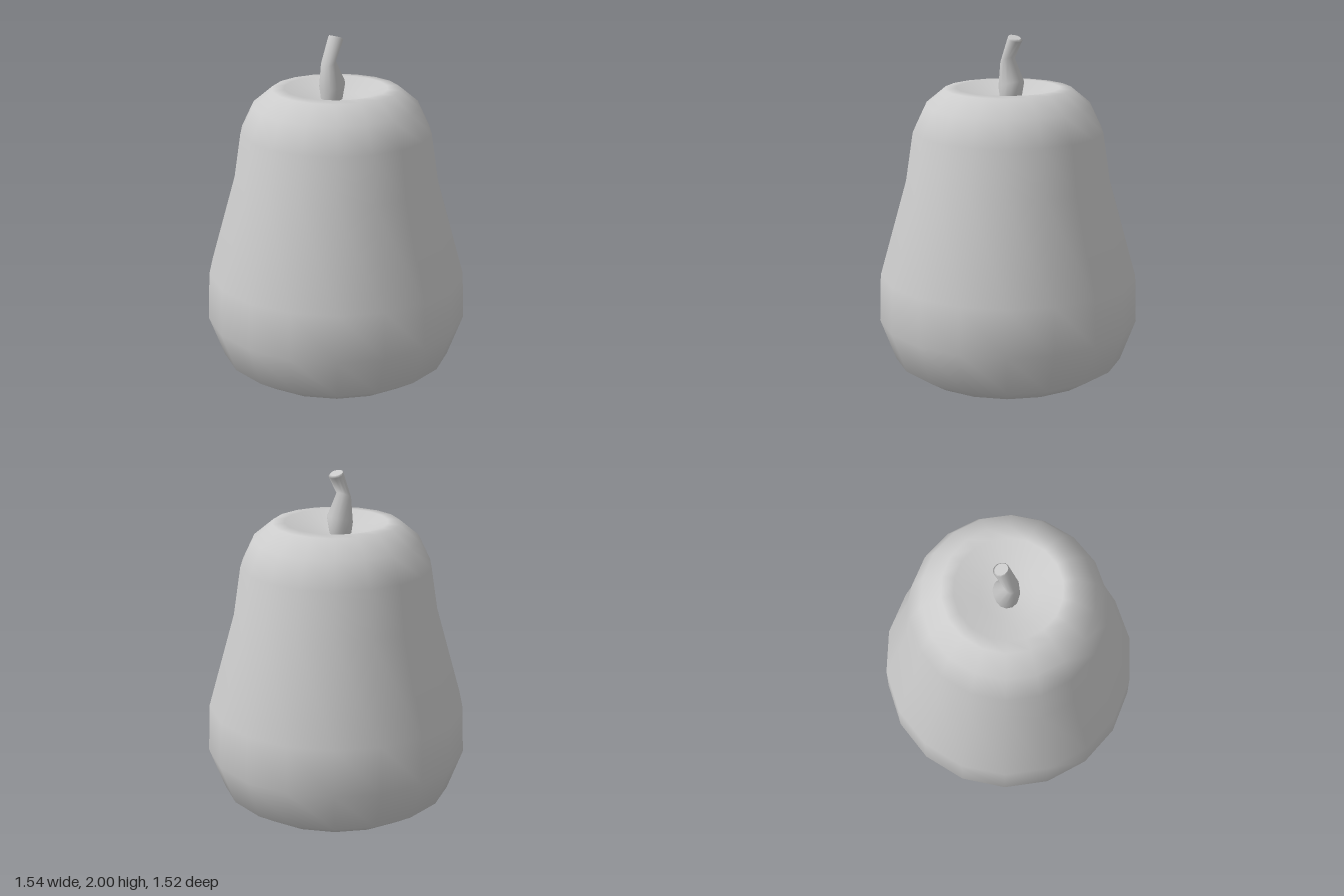
import * as THREE from 'three';

const SIDES = 18;
const STEM_SIDES = 12;

// Smooth loft through tilted elliptical rings, closed with a crisp cap.
// Ring: [centre x, centre y, half width x, rise at +x, half width z]
function loft(rings, sides, z0) {
  const pos = [], index = [];
  const addRing = ([cx, cy, rx, rise, rz]) => {
    for (let j = 0; j < sides; j++) {
      const a = (j / sides) * Math.PI * 2;
      pos.push(cx + rx * Math.cos(a), cy + rise * Math.cos(a), z0 + rz * Math.sin(a));
    }
  };
  rings.forEach(addRing);
  for (let i = 0; i < rings.length - 1; i++) {
    for (let j = 0; j < sides; j++) {
      const k = (j + 1) % sides;
      const a = i * sides + j, b = i * sides + k, c = a + sides, d = b + sides;
      index.push(a, c, b, b, c, d);
    }
  }
  // Cap with its own vertices so its edge stays sharp
  const top = rings[rings.length - 1];
  const start = pos.length / 3;
  addRing(top);
  pos.push(top[0], top[1], z0);
  for (let j = 0; j < sides; j++) {
    index.push(start + sides, start + ((j + 1) % sides), start + j);
  }
  const geo = new THREE.BufferGeometry();
  geo.setAttribute('position', new THREE.Float32BufferAttribute(pos, 3));
  geo.setIndex(index);
  geo.computeVertexNormals();
  return geo;
}

export function createModel() {
  const group = new THREE.Group();
  group.name = 'pear';
  const material = new THREE.MeshStandardMaterial({ color: 0xcccccc });
  const add = (name, geometry) => {
    const mesh = new THREE.Mesh(geometry, material);
    mesh.name = name;
    group.add(mesh);
    return mesh;
  };

  // Body: turned profile from the base edge up to the dimple
  const profile = [
    [0.555, 0], [0.68, 0.08], [0.77, 0.325], [0.76, 0.605], [0.6, 1.17],
    [0.557, 1.45], [0.485, 1.6], [0.37, 1.695], [0.3, 1.7], [0.16, 1.64], [0, 1.63],
  ].map(([r, y]) => new THREE.Vector2(r, y));
  add('body', new THREE.LatheGeometry(profile, SIDES, Math.PI / 2));

  // Flat underside
  add('base', new THREE.CircleGeometry(0.555, SIDES)).rotation.x = Math.PI / 2;

  // Bent stem rising out of the dimple
  add('stem', loft([
    [-0.005, 1.61, 0.06, 0.02, 0.06],
    [-0.002, 1.715, 0.075, 0.025, 0.076],
    [-0.036, 1.85, 0.036, 0.02, 0.046],
    [0.03, 1.978, 0.042, -0.014, 0.044],
    [0.027, 1.989, 0.035, -0.011, 0.037],
  ], STEM_SIDES, -0.026));

  return group;
}
